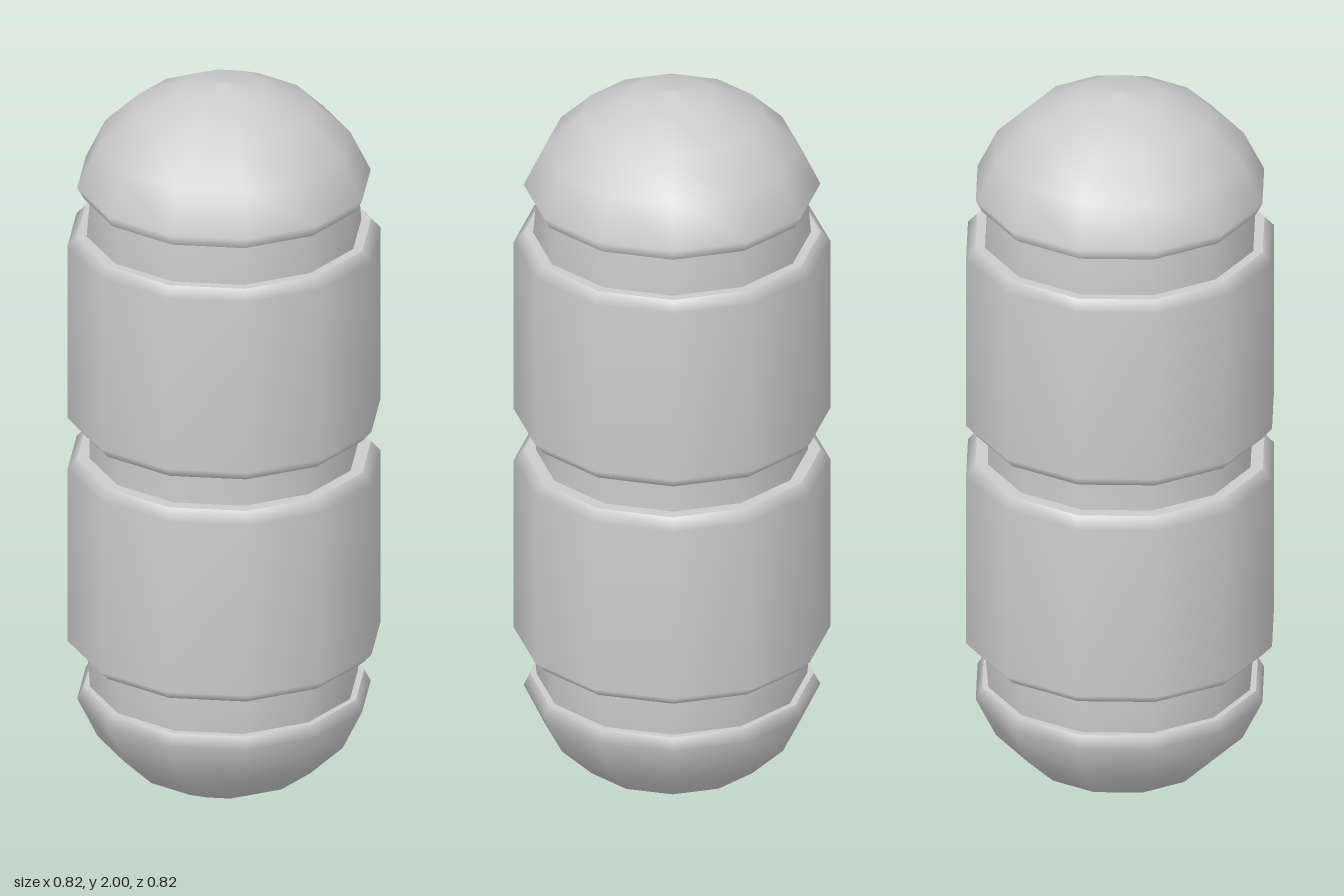
import * as THREE from 'three';

const SIDES = 12;
const MID = 1; // height of the mirror plane

// Profiles are [radius, height], listed bottom to top; a repeated point makes a sharp edge
function lathe(name, profile, material) {
  const points = profile.map(([r, y]) => new THREE.Vector2(r, y));
  const mesh = new THREE.Mesh(new THREE.LatheGeometry(points, SIDES), material);
  mesh.name = name;
  return mesh;
}

const mirrored = (profile) => profile.map(([r, y]) => [r, 2 * MID - y]).reverse();

export function createModel() {
  const group = new THREE.Group();
  group.name = 'capsule';
  const material = new THREE.MeshStandardMaterial({ color: 0xcccccc });

  // Inner core, seen in the grooves and flaring slightly beside the caps
  const upperCore = [[0.352, 1], [0.352, 1.1], [0.36, 1.58], [0.35, 1.7]];
  group.add(lathe('core', [...mirrored(upperCore), ...upperCore.slice(1)], material));

  // Wide band with bevelled rims
  const band = [
    [0.33, 1.045], [0.385, 1.045], [0.385, 1.045], [0.41, 1.075],
    [0.41, 1.56], [0.385, 1.587], [0.385, 1.587], [0.33, 1.587],
  ];

  // Rounded end cap with a flat closing face
  const cap = [
    [0, 1.695], [0.367, 1.695], [0.367, 1.695], [0.384, 1.727],
    [0.33, 1.838], [0.24, 1.925], [0.118, 1.984], [0, 2],
  ];

  for (const [part, profile] of [['Band', band], ['Cap', cap]]) {
    group.add(lathe('upper' + part, profile, material));
    group.add(lathe('lower' + part, mirrored(profile), material));
  }
  return group;
}
